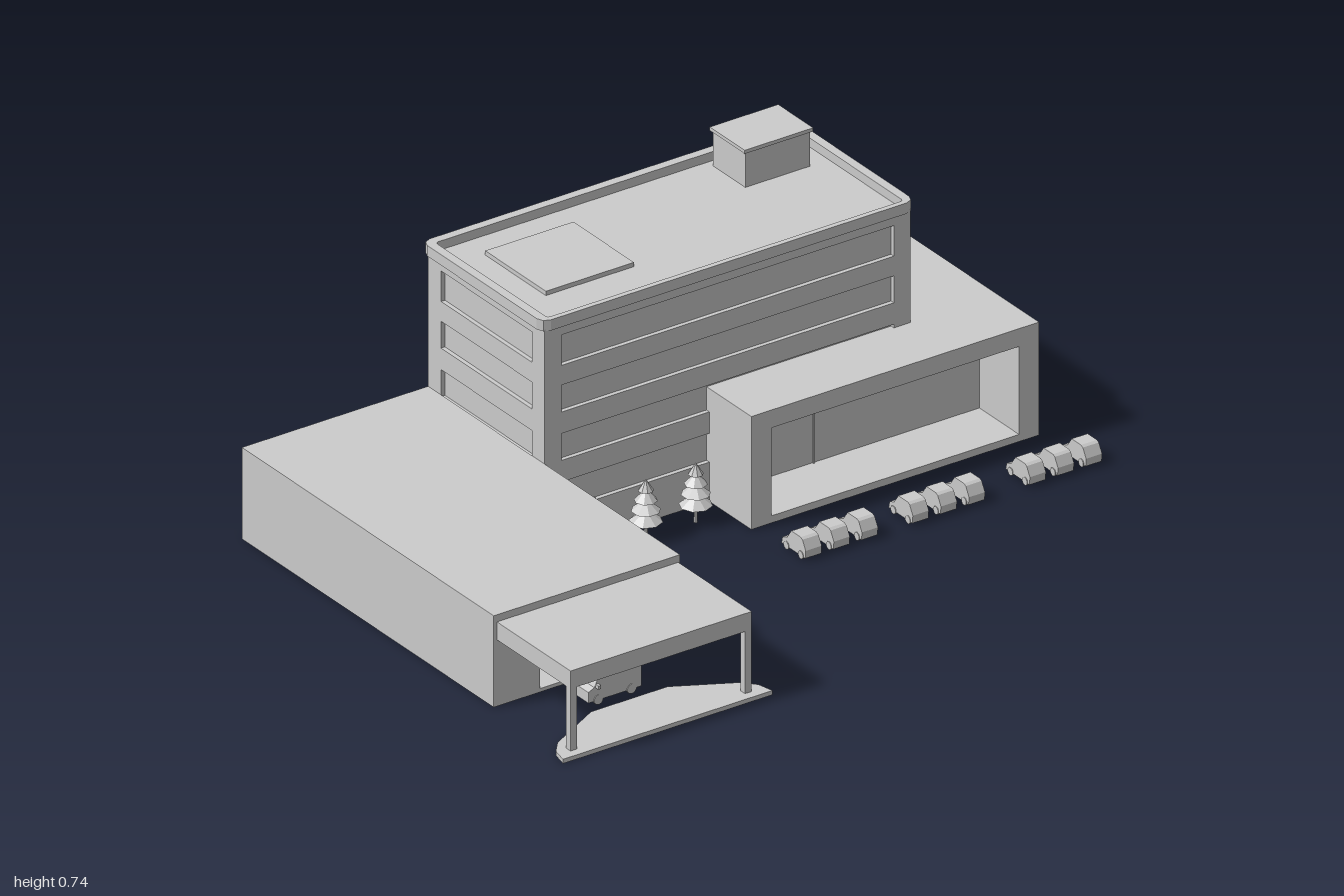
import * as THREE from 'three';

const mat = new THREE.MeshStandardMaterial({ color: 0xcccccc, flatShading: true });

function add(parent, name, geometry) {
  const mesh = new THREE.Mesh(geometry, mat);
  mesh.name = name;
  parent.add(mesh);
  return mesh;
}

// Box given by its minimum and maximum on each axis
function box(parent, name, x0, x1, y0, y1, z0, z1) {
  const mesh = add(parent, name, new THREE.BoxGeometry(x1 - x0, y1 - y0, z1 - z0));
  mesh.position.set((x0 + x1) / 2, (y0 + y1) / 2, (z0 + z1) / 2);
  return mesh;
}

const polygon = (points) => new THREE.Shape(points.map(([x, y]) => new THREE.Vector2(x, y)));
const rect = (x0, x1, y0, y1) => polygon([[x0, y0], [x1, y0], [x1, y1], [x0, y1]]);

function extrude(shape, depth, holes = []) {
  shape.holes.push(...holes);
  return new THREE.ExtrudeGeometry(shape, { depth, bevelEnabled: false });
}

// Rectangle with cut corners
function cutRect(x0, x1, y0, y1, c) {
  const k = c * 0.3;
  return polygon([
    [x0 + c, y0], [x1 - c, y0], [x1 - k, y0 + k], [x1, y0 + c], [x1, y1 - c], [x1 - k, y1 - k],
    [x1 - c, y1], [x0 + c, y1], [x0 + k, y1 - k], [x0, y1 - c], [x0, y0 + c], [x0 + k, y0 + k],
  ]);
}

// Flat plate: shape drawn in x and z, raised along y
function plate(parent, name, shape, y, height, holes) {
  const geometry = extrude(shape, height, holes).rotateX(Math.PI / 2).translate(0, y + height, 0);
  return add(parent, name, geometry);
}

function createTower() {
  const tower = new THREE.Group();
  tower.name = 'tower';
  const t = 0.012;
  box(tower, 'towerCore', -0.41 + t, 0.69 - t, 0, 0.63, -0.705 + t, -0.205 - t);
  // Four storeys of recessed window bands on every side
  const bands = [[0.11, 0.19], [0.25, 0.325], [0.385, 0.46], [0.515, 0.6]];
  const holes = (a, b) => bands.map(([y0, y1]) => rect(a, b, y0, y1));
  const longWall = extrude(rect(-0.41, 0.69, 0, 0.63), t, holes(-0.36, 0.64));
  const shortWall = extrude(rect(-0.25, 0.25, 0, 0.63), t, holes(-0.195, 0.195)).rotateY(Math.PI / 2);
  add(tower, 'frontWall', longWall).position.z = -0.205 - t;
  add(tower, 'backWall', longWall).position.z = -0.705;
  add(tower, 'leftWall', shortWall).position.set(0.69 - t, 0, -0.455);
  add(tower, 'rightWall', shortWall).position.set(-0.41, 0, -0.455);
  // Roof edge and roof fittings
  plate(tower, 'parapet', cutRect(-0.42, 0.7, -0.72, -0.2, 0.025), 0.625, 0.03,
    [cutRect(-0.395, 0.675, -0.695, -0.215, 0.008)]);
  box(tower, 'landingPad', -0.305, -0.04, 0.63, 0.642, -0.61, -0.35);
  box(tower, 'roofHouse', 0.423, 0.617, 0.63, 0.728, -0.672, -0.533);
  box(tower, 'roofHouseCap', 0.417, 0.623, 0.728, 0.738, -0.677, -0.527);
  return tower;
}

function createEntranceWing() {
  const wing = new THREE.Group();
  wing.name = 'entranceWing';
  box(wing, 'wingBody', 0.085, 0.95, 0, 0.315, -0.69, -0.195);
  // Deep front portal
  add(wing, 'entranceFrame', extrude(rect(0.085, 0.95, 0, 0.315), 0.17, [rect(0.145, 0.89, 0.02, 0.265)]))
    .position.z = -0.195;
  box(wing, 'glassDivider', 0.388, 0.392, 0.02, 0.265, -0.195, -0.19);
  // Back wall with a recessed door
  const back = polygon([[0.69, 0], [0.74, 0], [0.74, 0.11], [0.885, 0.11], [0.885, 0], [0.95, 0],
    [0.95, 0.315], [0.69, 0.315]]);
  add(wing, 'backDoorWall', extrude(back, 0.015)).position.z = -0.705;
  return wing;
}

function createEmergencyWing() {
  const wing = new THREE.Group();
  wing.name = 'emergencyWing';
  box(wing, 'wingBody', -0.97, -0.41, 0, 0.255, -0.705, 0.155);
  // Corner lobby, open to the front and the side
  box(wing, 'lobbySideWall', -0.97, -0.83, 0, 0.255, 0.155, 0.375);
  box(wing, 'lobbyRoof', -0.83, -0.41, 0.2, 0.255, 0.155, 0.375);
  box(wing, 'lobbyFloor', -0.83, -0.41, 0, 0.01, 0.155, 0.375);
  box(wing, 'cornerPost', -0.43, -0.41, 0.01, 0.2, 0.355, 0.375);
  box(wing, 'lobbyDoor', -0.75, -0.617, 0.01, 0.125, 0.155, 0.16);
  // Canopy over the drive, with its kerb island
  box(wing, 'canopy', -0.96, -0.415, 0.185, 0.235, 0.375, 0.69);
  for (const x of [-0.96, -0.435]) box(wing, 'canopyColumn', x, x + 0.02, 0.01, 0.185, 0.67, 0.69);
  plate(wing, 'kerbIsland', polygon([[-1, 0.715], [-0.99, 0.67], [-0.96, 0.635], [-0.8, 0.55],
    [-0.57, 0.55], [-0.41, 0.635], [-0.38, 0.67], [-0.37, 0.715]]), 0, 0.012);
  return wing;
}

// Vehicle with its nose along -x, centred on z = 0
function createVehicle(name, profile, width, axles, radius) {
  const vehicle = new THREE.Group();
  vehicle.name = name;
  add(vehicle, 'bodywork', extrude(polygon(profile), width)).position.z = -width / 2;
  for (const x of axles) {
    for (const side of [-1, 1]) {
      const wheel = add(vehicle, 'wheel', new THREE.CylinderGeometry(radius, radius, 0.01, 10).rotateX(Math.PI / 2));
      wheel.position.set(x, radius, side * (width / 2 - 0.003));
    }
  }
  return vehicle;
}

function createAmbulance() {
  const profile = [[-0.08, 0.012], [0.08, 0.012], [0.08, 0.09], [-0.035, 0.09], [-0.04, 0.077],
    [-0.05, 0.075], [-0.062, 0.05], [-0.08, 0.042]];
  const van = createVehicle('ambulance', profile, 0.07, [-0.05, 0.05], 0.014);
  box(van, 'roofLight', -0.03, -0.018, 0.09, 0.098, -0.03, 0.03);
  for (const s of [-1, 1]) {
    box(van, 'mirror', -0.058, -0.05, 0.048, 0.058, s * 0.041 - 0.006, s * 0.041 + 0.006);
  }
  van.position.set(-0.7, 0, 0.475);
  return van;
}

function createCar(x) {
  const profile = [[-0.052, 0.008], [0.05, 0.008], [0.052, 0.03], [0.038, 0.055], [0.03, 0.059],
    [-0.01, 0.059], [-0.028, 0.034], [-0.048, 0.026]];
  const car = createVehicle('parkedCar', profile, 0.048, [-0.03, 0.032], 0.011);
  car.rotation.y = -Math.PI / 2;
  car.position.set(x, 0, 0.138);
  return car;
}

function createTree(x) {
  const tree = new THREE.Group();
  tree.name = 'tree';
  add(tree, 'trunk', new THREE.CylinderGeometry(0.004, 0.005, 0.15, 6)).position.y = 0.075;
  // Stacked tiers of branches
  const tiers = [[0.05, 0.043], [0.08, 0.038], [0.108, 0.03], [0.135, 0.02]];
  tiers.forEach(([y, r], i) => {
    const tier = add(tree, 'branches', new THREE.ConeGeometry(r, 0.032, 8));
    tier.position.y = y + 0.016;
    tier.rotation.y = i * 0.4;
  });
  tree.position.set(x, 0, -0.135);
  return tree;
}

export function createModel() {
  const model = new THREE.Group();
  model.name = 'medicalCentre';
  model.add(createTower(), createEntranceWing(), createEmergencyWing(), createAmbulance());
  for (const x of [-0.31, -0.155, -0.005]) model.add(createTree(x));
  // Three rows of three parked cars
  for (const start of [0.122, 0.444, 0.796]) {
    for (let i = 0; i < 3; i++) model.add(createCar(start + i * 0.0845));
  }
  return model;
}
